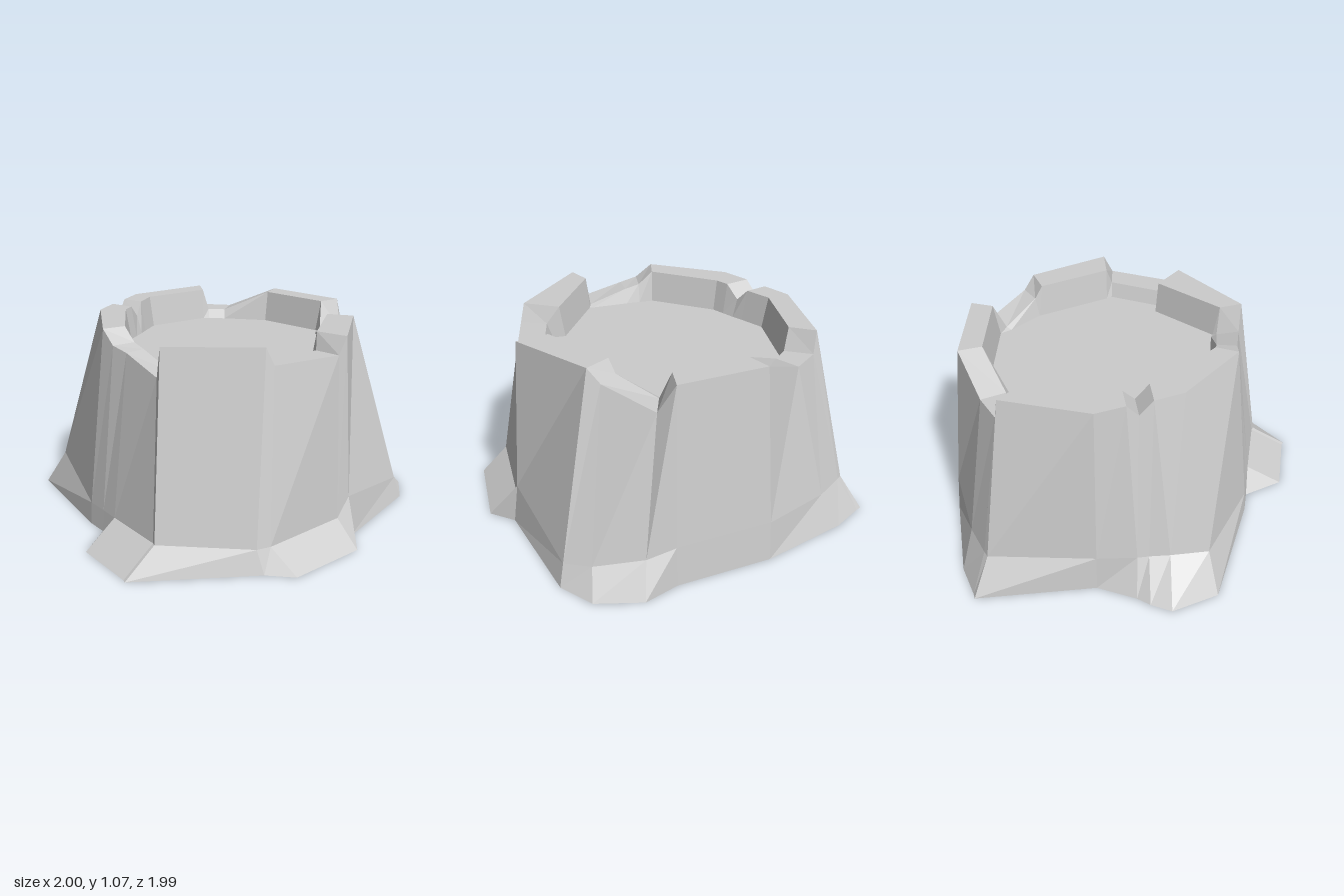
import * as THREE from 'three';

const H = 1.07, FLOOR = 0.9;

// Rim columns, counter-clockwise from above: outer x, outer z, height, inner x, inner z
const RIM = [
  [-0.64, 0.25, H, -0.52, 0.21],
  [-0.31, 0.63, H, -0.19, 0.47],
  [-0.28, 0.66, 0.98, -0.2, 0.54],
  [0.08, 0.78, 0.98, 0.08, 0.64],
  [0.13, 0.79, H, 0.11, 0.62],
  [0.53, 0.56, H, 0.47, 0.43],
  [0.58, 0.51, 1.0, 0.51, 0.41],
  [0.78, 0.31, 0.91, 0.66, 0.25],
  [0.84, 0.24, H, 0.72, 0.21],
  [0.84, -0.23, H, 0.72, -0.19],
  [0.7, -0.48, 0.95, 0.58, -0.42],
  [0.61, -0.62, 0.95, 0.52, -0.5],
  [0.59, -0.64, H, 0.5, -0.53],
  [0.13, -0.74, H, 0.13, -0.62],
  [-0.02, -0.68, H, 0, -0.56],
  [-0.08, -0.66, 1.0, -0.06, -0.53],
  [-0.15, -0.635, H, -0.13, -0.5],
  [-0.3, -0.57, H, -0.2, -0.47],
  [-0.585, -0.22, H, -0.47, -0.18],
  [-0.6, -0.13, 1.0, -0.48, -0.1],
  [-0.6, -0.03, 0.98, -0.49, -0.02],
  [-0.635, 0.22, 0.91, -0.51, 0.19],
];

// Skirt columns under the rim: bend x, bend z, bend height, ground x, ground z
const SKIRT = [
  [-0.8, 0.35, 0.12, -1, 0.35],
  [-0.5, 0.75, 0.12, -0.5, 0.8],
  [-0.43, 0.78, 0.12, -0.41, 0.93],
  [0.05, 0.84, 0.12, 0.02, 0.99],
  [0.13, 0.85, 0.22, 0.13, 0.88],
  [0.71, 0.78, 0.12, 0.74, 0.81],
  [0.8, 0.66, 0.13, 0.91, 0.7],
  [0.91, 0.42, 0.18, 1, 0.46],
  [0.93, 0.27, 0.22, 0.95, 0.27],
  [0.93, -0.25, 0.22, 0.95, -0.25],
  [0.8, -0.63, 0.2, 0.85, -0.73],
  [0.71, -0.79, 0.2, 0.77, -0.9],
  [0.69, -0.82, 0.2, 0.76, -0.93],
  [0.13, -0.83, 0.2, 0.13, -0.85],
  [-0.08, -0.82, 0.2, -0.08, -0.92],
  [-0.14, -0.81, 0.2, -0.15, -0.96],
  [-0.25, -0.8, 0.2, -0.26, -1],
  [-0.45, -0.77, 0.2, -0.5, -0.89],
  [-0.69, -0.25, 0.12, -0.7, -0.25],
  [-0.71, -0.13, 0.12, -0.72, -0.13],
  [-0.73, -0.02, 0.12, -0.93, -0.02],
  [-0.79, 0.33, 0.12, -0.99, 0.33],
];

const CENTRE_X = 0.09, CENTRE_Z = 0.01;

// Joins successive closed rings with quads; a one-point ring closes as a fan
function loft(rings) {
  const pos = [];
  const n = Math.max(...rings.map((r) => r.length));
  const at = (ring, i) => ring[i % ring.length];
  for (let r = 0; r < rings.length - 1; r++) {
    const lower = rings[r], upper = rings[r + 1];
    for (let i = 0; i < n; i++) {
      const a = at(lower, i), b = at(lower, i + 1);
      const c = at(upper, i + 1), d = at(upper, i);
      if (lower.length > 1) pos.push(...a, ...b, ...c);
      if (upper.length > 1) pos.push(...a, ...c, ...d);
    }
  }
  const geo = new THREE.BufferGeometry();
  geo.setAttribute('position', new THREE.Float32BufferAttribute(pos, 3));
  geo.computeVertexNormals();
  return geo;
}

export function createModel() {
  const group = new THREE.Group();
  group.name = 'treeStump';
  const material = new THREE.MeshStandardMaterial({ color: 0xcccccc, flatShading: true });

  // Cross-sections from the ground up, over the rim and down to the sunken top
  const ground = SKIRT.map(([, , , x, z]) => [x, 0, z]);
  const bend = SKIRT.map(([x, z, y]) => [x, y, z]);
  const outer = RIM.map(([x, z, y]) => [x, y, z]);
  const inner = RIM.map(([, , y, x, z]) => [x, y, z]);
  const floor = inner.map(([x, , z]) => [
    CENTRE_X + (x - CENTRE_X) * 0.95, FLOOR, CENTRE_Z + (z - CENTRE_Z) * 0.95,
  ]);

  const parts = {
    underside: [[[CENTRE_X, 0, CENTRE_Z]], ground],
    rootFlare: [ground, bend],
    barkWall: [bend, outer],
    brokenRim: [outer, inner],
    innerWall: [inner, floor],
    cutTop: [floor, [[CENTRE_X, FLOOR, CENTRE_Z]]],
  };
  for (const [name, rings] of Object.entries(parts)) {
    const mesh = new THREE.Mesh(loft(rings), material);
    mesh.name = name;
    group.add(mesh);
  }
  return group;
}
